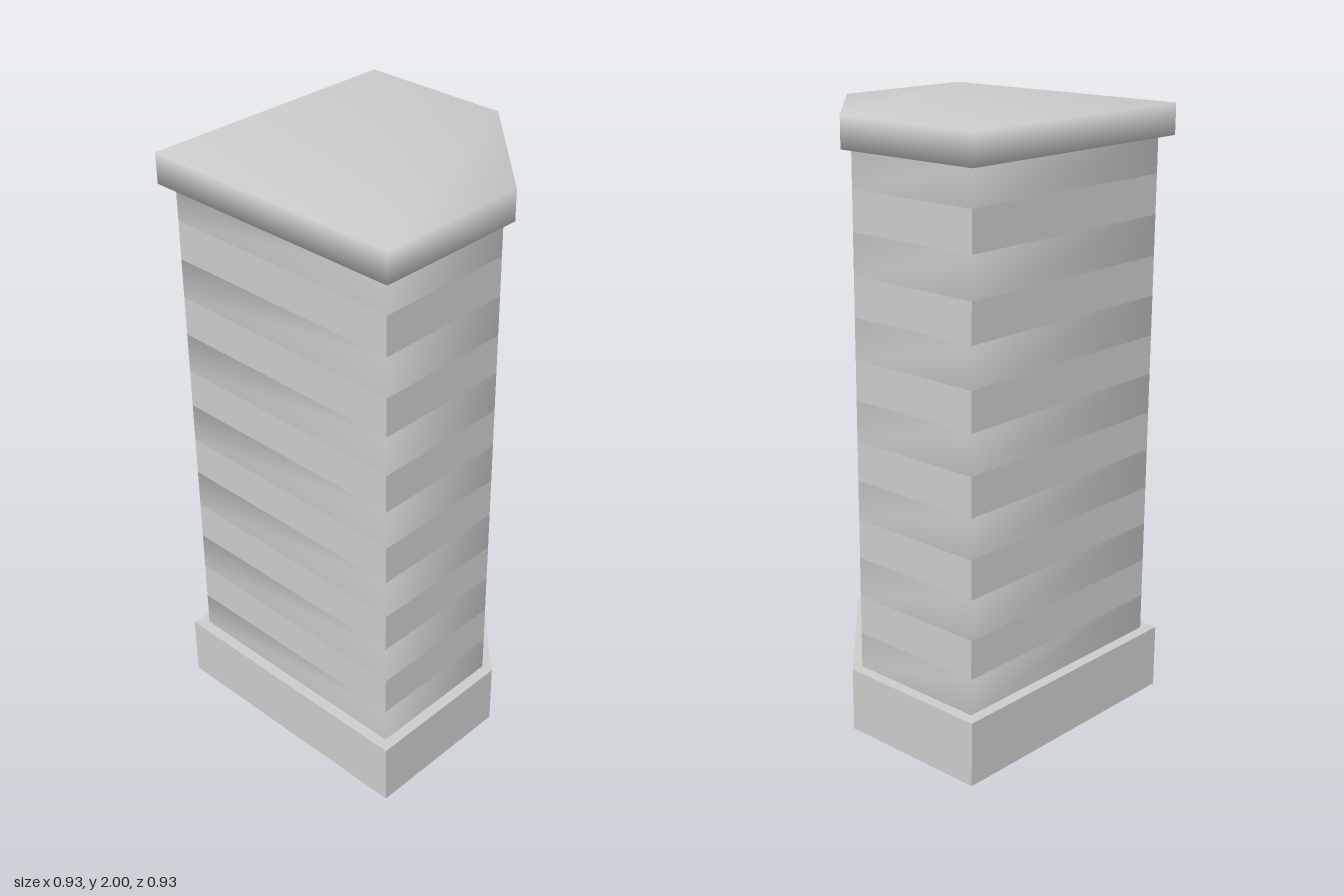
import * as THREE from 'three';
import { mergeVertices } from 'three/addons/utils/BufferGeometryUtils.js';

const material = new THREE.MeshStandardMaterial({ color: 0xcccccc });

// Square plan with the front +x corner cut off, as [x, z] pairs
const plan = (r, c) => [[-r, r], [c, r], [r, c], [r, -r], [-r, -r]];

// Solid slab over a plan
function slab(points, y0, y1) {
  const shape = new THREE.Shape(points.map(([x, z]) => new THREE.Vector2(x, -z)));
  const geo = new THREE.ExtrudeGeometry(shape, { depth: y1 - y0, bevelEnabled: false });
  return geo.rotateX(-Math.PI / 2).translate(0, y0, 0);
}

// Walls only around a plan, soft round the corners or flat on each side
function walls(points, y0, y1, soft) {
  const n = points.length;
  const positions = [];
  const index = [];
  points.forEach(([x, z], i) => {
    positions.push(x, y0, z, x, y1, z);
    const a = 2 * i, b = 2 * ((i + 1) % n);
    index.push(a, b, b + 1, a, b + 1, a + 1);
  });
  let geo = new THREE.BufferGeometry();
  geo.setAttribute('position', new THREE.Float32BufferAttribute(positions, 3));
  geo.setIndex(index);
  if (!soft) geo = geo.toNonIndexed();
  geo.computeVertexNormals();
  return geo;
}

// Share all corners so the shading runs over the edges
function soften(geo) {
  geo.deleteAttribute('normal');
  geo.deleteAttribute('uv');
  const soft = mergeVertices(geo);
  soft.computeVertexNormals();
  return soft;
}

export function createModel() {
  const model = new THREE.Group();
  model.name = 'tower';
  const add = (name, geo, parent = model) => {
    const mesh = new THREE.Mesh(geo, material);
    mesh.name = name;
    parent.add(mesh);
    return mesh;
  };

  const baseTop = 0.215, roofBottom = 1.9;
  const outer = plan(0.465, 0.063);
  const inner = plan(0.428, 0.057);

  // Base plinth
  add('base', slab(outer, 0, baseTop));

  // Entrance panel, almost flush with the cut corner
  const panel = add('entrancePanel', new THREE.BoxGeometry(0.396, 0.15, 0.01));
  panel.position.set(0.262, 0.11, 0.262);
  panel.rotation.y = Math.PI / 4;

  // Shaft: floor bands alternating with window strips
  const shaft = new THREE.Group();
  shaft.name = 'shaft';
  model.add(shaft);
  const strips = 6, firstStrip = 0.335, pitch = 0.263, stripHeight = 0.13;
  let y = baseTop;
  for (let i = 0; i < strips; i++) {
    const bottom = firstStrip + i * pitch;
    add('floorBand', walls(inner, y, bottom, true), shaft);
    y = bottom + stripHeight;
    add('windowStrip', walls(inner, bottom, y, false), shaft);
  }
  add('floorBand', walls(inner, y, roofBottom, true), shaft);

  // Overhanging roof slab
  add('roof', soften(slab(outer, roofBottom, 2)));

  return model;
}
